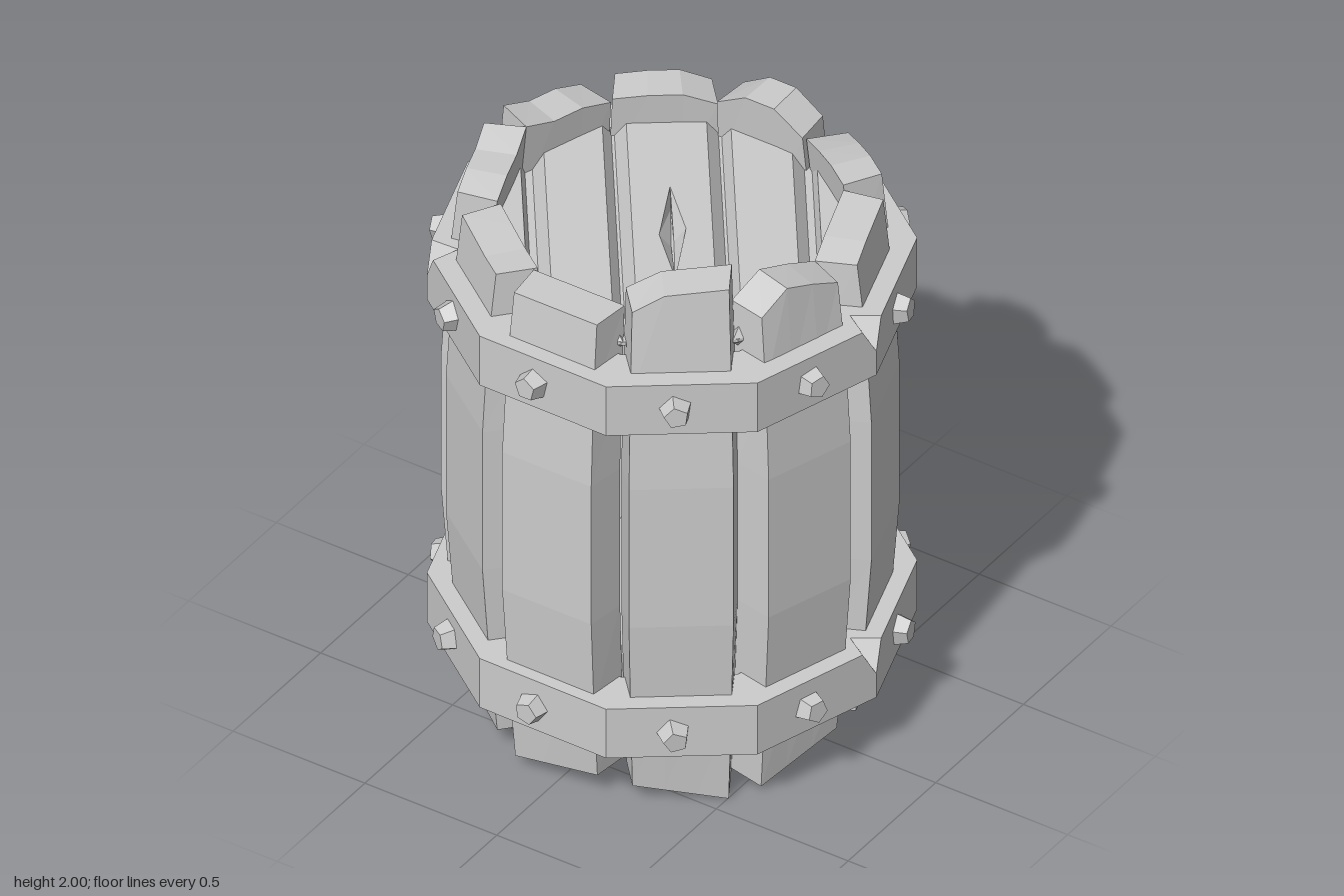
import * as THREE from 'three';

const SIDES = 10;
const STEP = (Math.PI * 2) / SIDES;
const wood = new THREE.MeshStandardMaterial({ color: 0xcccccc, flatShading: true, side: THREE.DoubleSide });

// Barrel bulge: [height, outer radius]; first and last heights come from each stave
const BULGE = [[0, 0.645], [0.37, 0.675], [0.72, 0.7], [1.26, 0.7], [1.6, 0.68], [2, 0.65]];
const THICK = 0.135;

// Ragged stave ends, side to side, going round from the front; shift moves a stave outwards
const STAVES = [
  { top: [1.86, 1.86, 1.86, 1.86], bottom: [0.04, 0.09], shift: 0.015 },
  { top: [1.92, 1.98, 1.99, 2.0], bottom: [0.06, 0], shift: 0 },
  { top: [1.86, 1.93, 1.9, 1.86], bottom: [0.02, 0.11], shift: 0 },
  { top: [1.86, 1.88, 1.89, 1.9], bottom: [0.11, 0.08], shift: 0 },
  { top: [1.92, 1.92, 1.9, 1.87], bottom: [0.06, 0.13], shift: 0 },
  { top: [1.88, 1.95, 1.95, 1.89], bottom: [0.05, 0.05], shift: -0.015 },
  { top: [1.87, 1.91, 1.91, 1.9], bottom: [0.08, 0.08], shift: 0 },
  { top: [1.88, 1.91, 1.91, 1.94], bottom: [0.05, 0.05], shift: 0.01 },
  { top: [1.94, 1.91, 1.91, 1.89], bottom: [0.06, 0.1], shift: 0.01 },
  { top: [1.88, 1.87, 1.86, 1.86], bottom: [0.1, 0.07], shift: 0 },
];

function seeded(seed) {
  let s = seed;
  return () => {
    s = (s * 16807) % 2147483647;
    return s / 2147483647 - 0.5;
  };
}

function mesh(geometry, name) {
  const m = new THREE.Mesh(geometry, wood);
  m.name = name;
  return m;
}

// One stave: a subdivided box bent to the bulge, narrower on its outer face
function staveGeometry({ top, bottom, shift }) {
  const g = new THREE.BoxGeometry(1, 1, 1, 3, 5, 1);
  const p = g.attributes.position;
  for (let i = 0; i < p.count; i++) {
    const u = p.getX(i) * 2;
    const col = Math.round((p.getX(i) + 0.5) * 3);
    const row = Math.round((p.getY(i) + 0.5) * 5);
    const outer = p.getZ(i) > 0;
    let [y, r] = BULGE[row];
    if (row === 0) y = THREE.MathUtils.lerp(bottom[0], bottom[1], col / 3);
    if (row === 5) y = top[col];
    r += shift;
    const inner = r - THICK;
    const half = outer ? r * 0.236 : inner * Math.tan(STEP / 2);
    p.setXYZ(i, u * half, y, outer ? r : inner);
  }
  g.computeVertexNormals();
  return g;
}

// Ten-sided hoop from cross-sections; nicked corners get a wedge cut from the top edge
function bandGeometry(h, nicks) {
  const sections = [];
  const add = (angle, off, cut) => {
    const k = 1 / Math.cos(STEP / 2 - off);
    const R = 0.737 * k;
    const r = 0.57 * k;
    sections.push([[r, -h], [R, -h], [R, h - cut], [R - cut, h], [r, h]]
      .map(([d, y]) => [d * Math.sin(angle), y, d * Math.cos(angle)]));
  };
  for (let i = 0; i < SIDES; i++) {
    const a = (i + 0.5) * STEP;
    const nicked = nicks.includes(i);
    if (nicked) add(a - 0.07, 0.07, 0);
    add(a, 0, nicked ? 0.1 : 0);
    if (nicked) add(a + 0.07, 0.07, 0);
  }
  const pos = [];
  sections.forEach((s, i) => {
    const n = sections[(i + 1) % sections.length];
    for (let j = 0; j < 5; j++) {
      const k = (j + 1) % 5;
      pos.push(...s[j], ...n[j], ...n[k], ...s[j], ...n[k], ...s[k]);
    }
  });
  const g = new THREE.BufferGeometry();
  g.setAttribute('position', new THREE.Float32BufferAttribute(pos, 3));
  g.computeVertexNormals();
  return g;
}

// Slightly tilted hoop with a five-sided stud on each face
function hoop(name, y, nicks, seed) {
  const group = new THREE.Group();
  group.name = name;
  group.position.y = y;
  group.rotation.set(0.012, 0, -0.008);
  group.add(mesh(bandGeometry(0.097, nicks), 'band'));
  const rand = seeded(seed);
  const stud = new THREE.CylinderGeometry(0.04, 0.06, 0.07, 5).rotateX(Math.PI / 2);
  for (let i = 0; i < SIDES; i++) {
    const holder = new THREE.Group();
    holder.rotation.y = i * STEP;
    const m = mesh(stud, 'stud');
    m.position.set(-0.015 + rand() * 0.04, rand() * 0.02, 0.75);
    m.rotation.set(rand() * 0.2, rand() * 0.2, rand() * 2);
    holder.add(m);
    group.add(holder);
  }
  return group;
}

// Round lid of bevelled planks over a thin core; the bevels form the V grooves
function lid(name, y, cracked) {
  const group = new THREE.Group();
  group.name = name;
  group.position.y = y;
  const R = 0.565;
  const bevel = 0.038;
  const seams = [-0.58, -0.43, -0.165, 0.165, 0.43, 0.58];
  for (let i = 0; i < 5; i++) {
    const a = seams[i] + bevel;
    const b = seams[i + 1] - bevel;
    const edge = [];
    for (let j = 0; j <= 4; j++) {
      const p = a + ((b - a) * j) / 4;
      edge.push(new THREE.Vector2(p, Math.sqrt(R * R - p * p)));
    }
    const mirrored = edge.map((v) => new THREE.Vector2(v.x, -v.y));
    const shape = new THREE.Shape([...mirrored, ...edge.reverse()]);
    if (cracked && i === 2) {
      shape.holes.push(new THREE.Path([[0, -0.185], [-0.043, 0.07], [0, 0.3], [0.043, 0.04]]
        .map(([px, py]) => new THREE.Vector2(px, py))));
    }
    const g = new THREE.ExtrudeGeometry(shape, {
      depth: 0.01, bevelEnabled: true, bevelThickness: 0.05, bevelSize: bevel, bevelSegments: 1,
    });
    g.translate(0, 0, -0.005).rotateX(Math.PI / 2).rotateY(0.62);
    group.add(mesh(g, 'lidPlank'));
  }
  const core = mesh(new THREE.CylinderGeometry(0.6, 0.6, 0.012, SIDES), 'lidCore');
  core.rotation.y = STEP / 2;
  group.add(core);
  return group;
}

export function createModel() {
  const model = new THREE.Group();
  model.name = 'barrel';

  const staves = new THREE.Group();
  staves.name = 'staves';
  STAVES.forEach((s, i) => {
    const m = mesh(staveGeometry(s), 'stave');
    m.rotation.y = i * STEP;
    staves.add(m);
  });

  model.add(
    staves,
    hoop('topHoop', 1.61, [2, 8], 11),
    hoop('bottomHoop', 0.345, [2, 6], 47),
    lid('topLid', 1.74, true),
    lid('bottomLid', 0.215, false),
  );
  return model;
}
